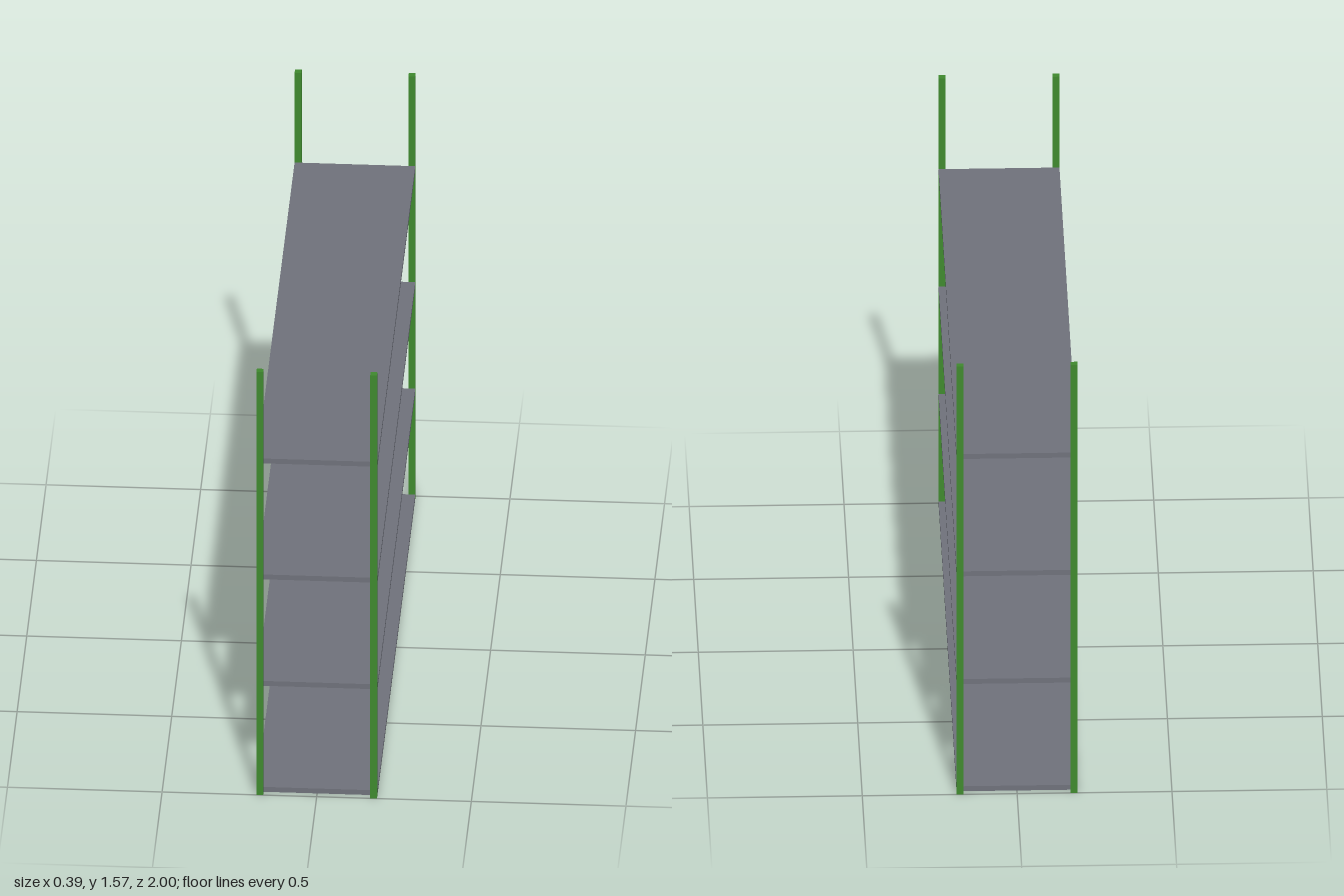
import * as THREE from 'three';

const WIDTH = 0.39, LENGTH = 2, HEIGHT = 1.565;
const POST = 0.022, THICK = 0.018;

export function createModel() {
  const group = new THREE.Group();
  const green = new THREE.MeshStandardMaterial({ color: 0x3f8a2e });
  const grey = new THREE.MeshStandardMaterial({ color: 0x70727c });

  const addBox = (name, size, position, material) => {
    const mesh = new THREE.Mesh(new THREE.BoxGeometry(...size), material);
    mesh.position.set(...position);
    mesh.name = name;
    group.add(mesh);
  };

  // four square corner posts
  for (const x of [-1, 1]) {
    for (const z of [-1, 1]) {
      const name = (z > 0 ? 'front' : 'back') + (x > 0 ? 'Left' : 'Right') + 'Post';
      addBox(name, [POST, HEIGHT, POST],
        [x * (WIDTH - POST) / 2, HEIGHT / 2, z * (LENGTH - POST) / 2], green);
    }
  }

  // shelves held between the end posts
  [0, 0.392, 0.786, 1.215].forEach((bottom, i) => {
    addBox('shelf' + (i + 1), [WIDTH, THICK, LENGTH - 2 * POST],
      [0, bottom + THICK / 2, 0], grey);
  });

  return group;
}
